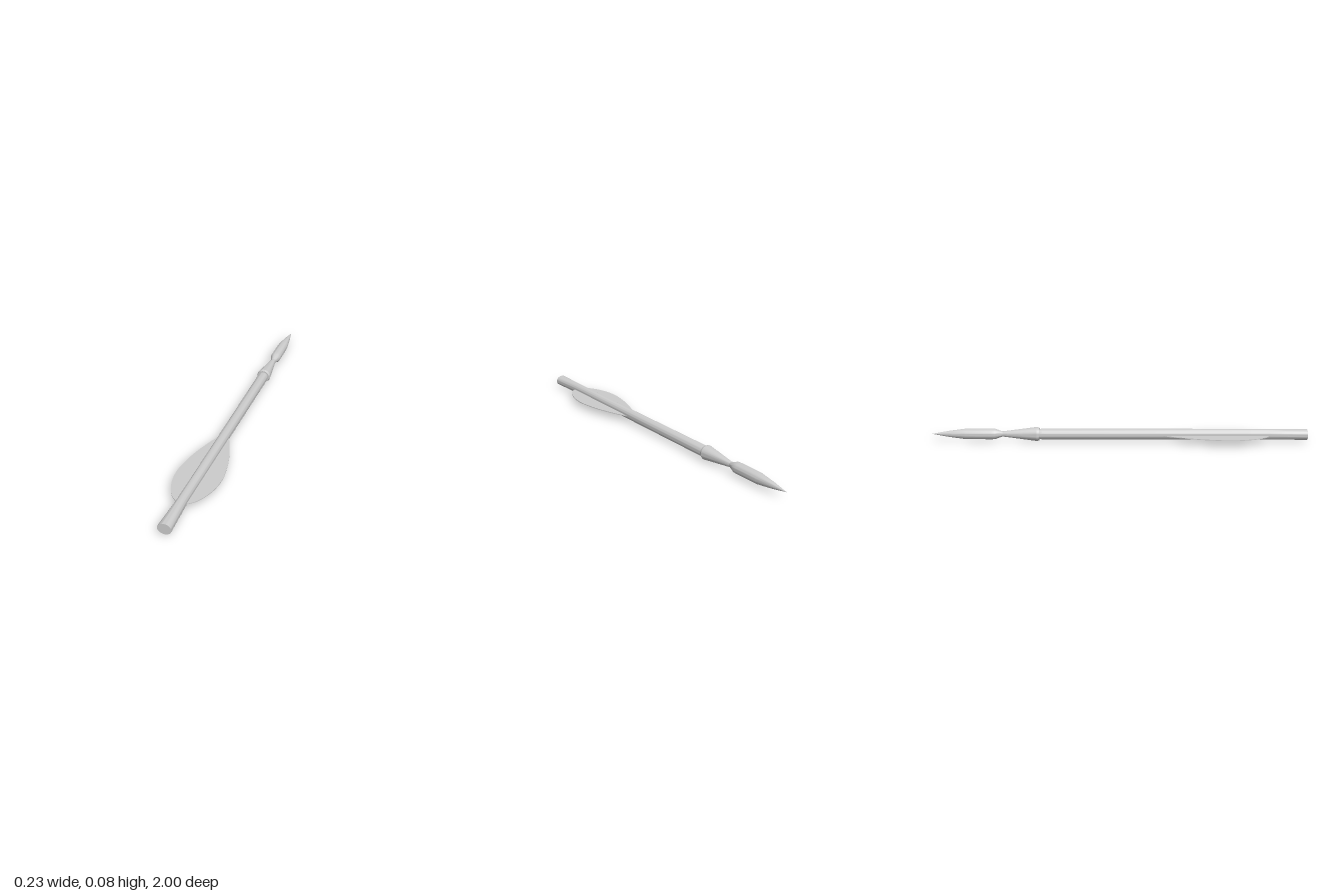
import * as THREE from 'three';
import { toCreasedNormals } from 'three/addons/utils/BufferGeometryUtils.js';

const AXIS_Y = 0.04;

export function createModel() {
  const model = new THREE.Group();
  const material = new THREE.MeshStandardMaterial({ color: 0xcccccc });

  function add(name, geometry) {
    const mesh = new THREE.Mesh(geometry, material);
    mesh.name = name;
    mesh.position.y = AXIS_Y;
    model.add(mesh);
    return mesh;
  }

  // Turned part along z; profile is [radius, z] from the rear to the point
  function turned(profile) {
    const points = profile.map(([r, z]) => new THREE.Vector2(r, -z));
    return new THREE.LatheGeometry(points, 32).rotateX(-Math.PI / 2);
  }

  // Shaft, pinched sideways behind the vanes and widening to the rear end
  const shaft = turned([
    [0, 1], [0.029, 1], [0.029, 0.88], [0.029, 0.8], [0.029, 0.7],
    [0.029, -0.41], [0.026, -0.43], [0, -0.43],
  ]);
  const p = shaft.attributes.position;
  for (let i = 0; i < p.count; i++) {
    const z = p.getZ(i);
    const widen = z > 0.8 ? 0.86 + (z - 0.8) * 1.7 : z > 0.65 ? 0.86 : 1;
    p.setX(i, p.getX(i) * widen);
  }
  add('shaft', toCreasedNormals(shaft, 0.5));

  // Head: flared socket, narrow waist and long pointed tip
  add('head', toCreasedNormals(turned([
    [0, -0.425], [0.034, -0.425], [0.038, -0.437], [0.014, -0.62],
    [0.019, -0.637], [0.028, -0.66], [0.029, -0.68], [0.028, -0.82],
    [0.016, -0.91], [0, -1],
  ]), 0.4));

  // Thin leaf-shaped vanes, one on each side
  for (const side of [1, -1]) {
    const outline = new THREE.Shape();
    outline.moveTo(0, 0.23);
    outline.lineTo(side * 0.028, 0.235);
    outline.splineThru([
      [0.058, 0.31], [0.09, 0.41], [0.108, 0.5], [0.116, 0.58],
      [0.107, 0.66], [0.083, 0.73], [0.055, 0.775], [0.024, 0.8],
    ].map(([x, z]) => new THREE.Vector2(side * x, z)));
    outline.lineTo(0, 0.8);
    const vane = new THREE.ExtrudeGeometry(outline, {
      depth: 0.004, bevelEnabled: false, curveSegments: 3,
    });
    vane.rotateX(Math.PI / 2); // outline y becomes z, thickness goes down
    add(side > 0 ? 'leftVane' : 'rightVane', vane).position.y = AXIS_Y - 0.002;
  }

  return model;
}
